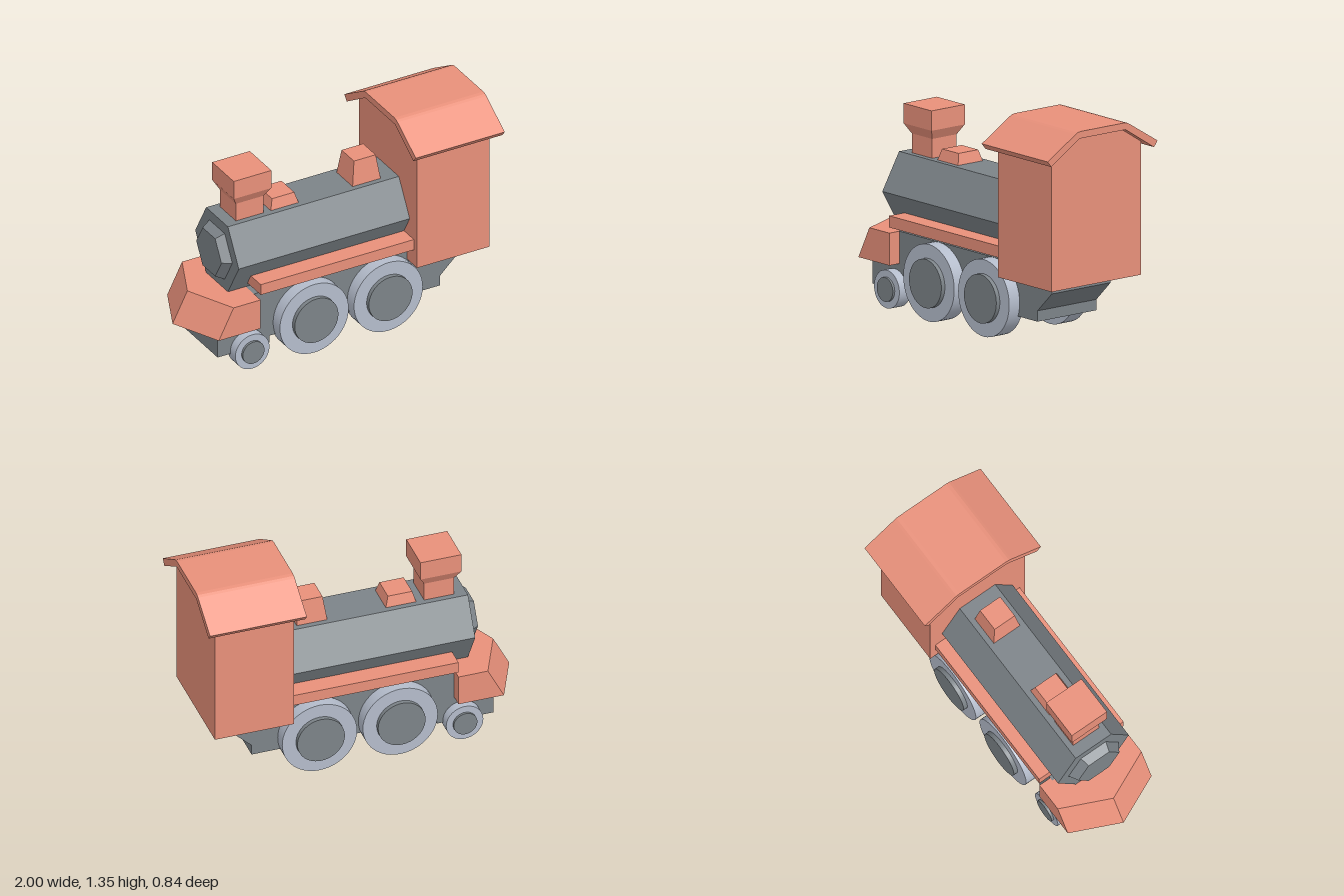
import * as THREE from 'three';
import { ConvexGeometry } from 'three/addons/geometries/ConvexGeometry.js';

const paint = (color, flatShading) => new THREE.MeshStandardMaterial({ color, flatShading });
const red = paint(0xe8907a, true);
const iron = paint(0x7c8388, true);
const hubIron = paint(0x7c8388, false);
const steel = paint(0xb4bccb, false);

const shapeOf = (pts) => new THREE.Shape(pts.map(([x, y]) => new THREE.Vector2(x, y)));
const extrude = (pts, depth) =>
  new THREE.ExtrudeGeometry(shapeOf(pts), { depth, bevelEnabled: false }).translate(0, 0, -depth / 2);

// Mirrors a half profile (listed from one end to the other) into a closed outline
const mirrored = (half) => [...half, ...half.map(([x, y]) => [-x, y]).reverse()];

// Cross-section in the (z, y) plane swept along x
const sweepX = (pts, x0, x1) =>
  extrude(pts, x1 - x0).rotateY(Math.PI / 2).translate((x0 + x1) / 2, 0, 0);

// Square stack from [half width, y] pairs, closed at both ends
function squareStack(pairs) {
  const pts = pairs.map(([h, y]) => new THREE.Vector2(h * Math.SQRT2, y));
  pts.unshift(new THREE.Vector2(0, pairs[0][1]));
  pts.push(new THREE.Vector2(0, pairs[pairs.length - 1][1]));
  return new THREE.LatheGeometry(pts, 4, Math.PI / 4);
}

// Hexagonal prism lying along x, with its corners at the sides
const hexPrism = (rFront, rBack, x0, x1) =>
  new THREE.CylinderGeometry(rFront, rBack, x1 - x0, 6).rotateZ(Math.PI / 2).translate((x0 + x1) / 2, 0.692, 0);

export function createModel() {
  const model = new THREE.Group();
  model.name = 'steamLocomotive';
  const add = (name, geometry, material, parent = model) => {
    const mesh = new THREE.Mesh(geometry, material);
    mesh.name = name;
    parent.add(mesh);
    return mesh;
  };

  // Chassis with a lower front truck and a chamfered tail
  add('chassis', extrude([
    [-0.825, 0.11], [-0.475, 0.11], [-0.475, 0.155], [0.675, 0.155], [0.675, 0.22],
    [0.805, 0.345], [0.805, 0.45], [0.6, 0.47], [-0.6, 0.47], [-0.825, 0.3],
  ], 0.45), iron);

  // Boiler and its tapered front door
  add('boiler', hexPrism(0.256, 0.256, -0.7, 0.5), iron);
  add('boilerDoor', hexPrism(0.148, 0.18, -0.755, -0.7), iron);

  // Running board along both sides
  add('runningBoard', new THREE.BoxGeometry(1.06, 0.07, 0.61).translate(-0.05, 0.54, 0), red);

  // Wedge-shaped plough at the nose
  const plough = [[0.275, 0], [0.47, 0.1]].flatMap(([y, back]) => [
    new THREE.Vector3(-1 + back, y, 0),
    ...[-0.303, 0.303].flatMap((z) => [
      new THREE.Vector3(-0.862 + back, y, z), new THREE.Vector3(-0.58, y, z),
    ]),
  ]);
  add('plough', new ConvexGeometry(plough), red);

  // Chimney and two domes on the boiler top
  add('chimney', squareStack([[0.093, 0.88], [0.093, 1.03], [0.127, 1.09], [0.127, 1.21]]), red)
    .position.x = -0.533;
  add('frontDome', squareStack([[0.095, 0.91], [0.075, 0.98]]), red).position.x = -0.297;
  add('rearDome', squareStack([[0.095, 0.91], [0.073, 1.07]]), red).position.x = 0.255;

  // Cab with an overhanging bent roof
  add('cab', sweepX(mirrored([[0.342, 0.4], [0.342, 1.202], [0.175, 1.31]]), 0.453, 0.943), red);
  add('roof', sweepX(mirrored([
    [0.175, 1.308], [0.392, 1.17], [0.42, 1.205], [0.205, 1.338], [0.19, 1.346], [0.168, 1.35],
  ]), 0.4, 1), red);

  // Wheels: [name, x, y, radius, hub radius, outer face, hub face]
  const wheels = [
    ['frontDrive', -0.219, 0.237, 0.232, 0.147, 0.305, 0.332],
    ['rearDrive', 0.281, 0.237, 0.232, 0.147, 0.305, 0.332],
    ['pilot', -0.625, 0.122, 0.115, 0.073, 0.285, 0.3],
  ];
  const disc = (r, z0, z1) =>
    new THREE.CylinderGeometry(r, r, z1 - z0, 48).rotateX(Math.PI / 2).translate(0, 0, (z0 + z1) / 2);
  for (const [name, x, y, r, hubR, outer, hubFace] of wheels) {
    for (const side of [1, -1]) {
      const wheel = new THREE.Group();
      wheel.name = `${name}Wheel${side > 0 ? 'Front' : 'Back'}`;
      wheel.position.set(x, y, 0);
      if (side < 0) wheel.rotation.y = Math.PI;
      add('tyre', disc(r, 0.2, outer), steel, wheel);
      add('hub', disc(hubR, outer - 0.01, hubFace), hubIron, wheel);
      model.add(wheel);
    }
  }
  return model;
}
